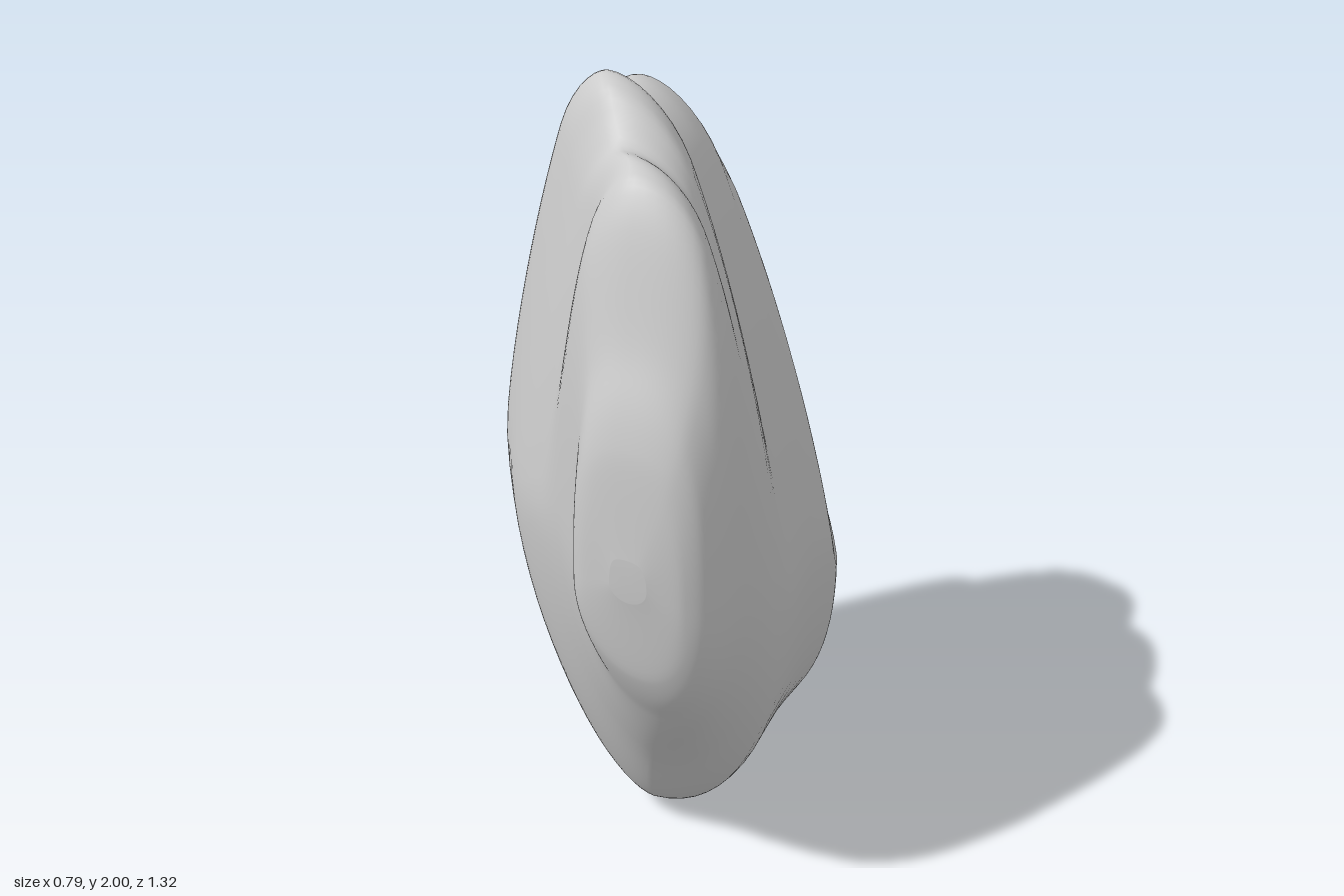
import * as THREE from 'three';

// Outlines as [z, value] points from back to front
const crestY = profile([[-0.66, 0.7], [-0.64, 0.88], [-0.6, 1.02], [-0.5, 1.2], [-0.45, 1.32],
  [-0.35, 1.66], [-0.22, 1.83], [-0.17, 1.88], [-0.1, 1.895], [-0.01, 1.89], [0.05, 1.93],
  [0.1, 1.98], [0.15, 2], [0.2, 1.98], [0.25, 1.92], [0.3, 1.88], [0.36, 1.89], [0.42, 1.87],
  [0.46, 1.81], [0.55, 1.53], [0.63, 1.3], [0.66, 1.05]]);
const keelY = profile([[-0.66, 0.63], [-0.64, 0.45], [-0.55, 0.14], [-0.45, 0.02], [-0.2, 0],
  [0.05, 0.005], [0.15, 0.04], [0.35, 0.3], [0.55, 0.57], [0.63, 0.72], [0.66, 0.94]]);
const crestX = profile([[-0.66, -0.02], [-0.62, -0.1], [-0.5, -0.1], [-0.25, -0.13], [0, -0.11],
  [0.15, -0.08], [0.3, 0.02], [0.4, 0.09], [0.55, 0.13], [0.66, 0.16]]);
const keelX = profile([[-0.66, 0.06], [-0.6, 0.13], [-0.45, 0.11], [-0.2, 0.04], [0.1, 0.03],
  [0.4, 0.13], [0.6, 0.22], [0.66, 0.18]]);
const rightX = profile([[-0.66, 0.08], [-0.64, 0.16], [-0.6, 0.23], [-0.5, 0.3],
  [-0.35, 0.33], [0, 0.35], [0.3, 0.39], [0.5, 0.375], [0.6, 0.345], [0.64, 0.3], [0.66, 0.22]]);
const leftX = profile([[-0.66, -0.03], [-0.64, -0.11], [-0.5, -0.25], [-0.35, -0.33],
  [-0.15, -0.4], [0.05, -0.39], [0.25, -0.3], [0.45, -0.09], [0.55, 0], [0.62, 0.025],
  [0.64, 0.05], [0.66, 0.13]]);

// Smooth curve through the points that never overshoots them
function profile(points) {
  const slopes = points.slice(1).map(([z, v], i) => (v - points[i][1]) / (z - points[i][0]));
  const tangents = points.map((_, i) => {
    const a = slopes[Math.max(i - 1, 0)];
    const b = slopes[Math.min(i, slopes.length - 1)];
    return a * b > 0 ? (2 * a * b) / (a + b) : 0;
  });
  return z => {
    let i = 0;
    while (i < points.length - 2 && z > points[i + 1][0]) i++;
    const h = points[i + 1][0] - points[i][0];
    const t = THREE.MathUtils.clamp((z - points[i][0]) / h, 0, 1);
    const s = 1 - t;
    return points[i][1] * (1 + 2 * t) * s * s + points[i + 1][1] * (1 + 2 * s) * t * t
      + h * t * s * (tangents[i] * s - tangents[i + 1] * t);
  };
}

// Superellipse quarter: 0 at u = 0, 1 at u = 1
const bulge = (u, p) => Math.pow(Math.max(0, 1 - Math.pow(1 - u, p)), 1 / p);

// The same with a round tip, for the crest
const roundedBulge = (u, p) => 0.22 * bulge(Math.min(u / 0.15, 1), 2) + 0.78 * bulge(u, p);

// x on one side at height fraction f, fullest at fraction peak
function sideX(f, peak, xBottom, xTop, xMax, pBottom, pTop) {
  return f < peak
    ? xBottom + (xMax - xBottom) * bulge(f / peak, pBottom)
    : xTop + (xMax - xTop) * roundedBulge((1 - f) / (1 - peak), pTop);
}

function createBodyGeometry() {
  const ROWS = 140;
  const HALF = 40; // points up each side
  const ring = HALF * 2;
  const positions = [];
  const indices = [];

  // Cross-sections from front to back, closer together at the ends
  for (let r = 0; r <= ROWS; r++) {
    const z = 0.66 * Math.cos((r / ROWS) * Math.PI);
    const yT = crestY(z), yB = keelY(z), xT = crestX(z), xB = keelX(z);
    // Full front ridge, and the hollow on its left
    const lobe = THREE.MathUtils.smoothstep(z, 0.36, 0.55);
    const front = THREE.MathUtils.smoothstep(z, 0, 0.45);
    const hollow = front * (1 - lobe);
    for (let j = 0; j < ring; j++) {
      const f = (1 - Math.cos((j / HALF) * Math.PI)) / 2;
      const x = j <= HALF
        ? sideX(f, 0.34, xB, xT, rightX(z), 2.2, 1.25 + 0.45 * front + 0.7 * lobe)
        : sideX(f, 0.54 - 0.14 * front, xB, xT, leftX(z), 1.6 + 0.3 * lobe,
          1.3 - 0.2 * hollow + 1.3 * lobe);
      positions.push(x, yB + (yT - yB) * f, z);
    }
  }

  // Skin between the sections, and small caps on both ends
  const front = (ROWS + 1) * ring, back = front + 1, last = ROWS * ring;
  positions.push(0.175, 0.995, 0.662, 0.025, 0.665, -0.662);
  for (let j = 0; j < ring; j++) {
    const k = (j + 1) % ring;
    for (let row = 0; row < last; row += ring) {
      const a = row + j, b = row + k;
      indices.push(a, a + ring, b, b, a + ring, b + ring);
    }
    indices.push(front, j, k, back, last + k, last + j);
  }

  const geometry = new THREE.BufferGeometry();
  geometry.setAttribute('position', new THREE.Float32BufferAttribute(positions, 3));
  geometry.setIndex(indices);
  geometry.computeVertexNormals();
  return geometry;
}

export function createModel() {
  const group = new THREE.Group();
  group.name = 'lobedStone';
  const body = new THREE.Mesh(
    createBodyGeometry(),
    new THREE.MeshStandardMaterial({ color: 0xcccccc }),
  );
  body.name = 'body';
  group.add(body);
  return group;
}
